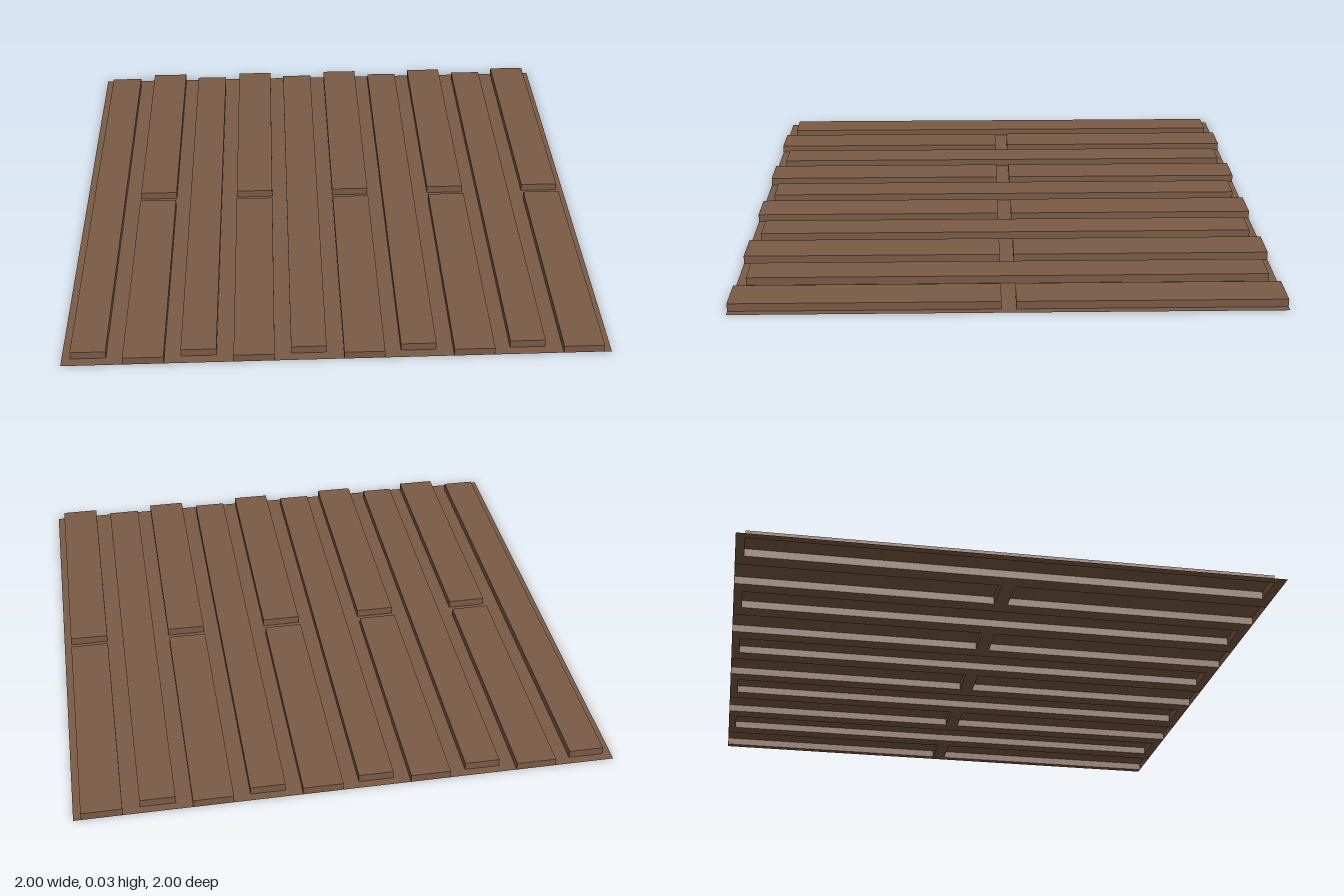
import * as THREE from 'three';

const HEIGHT = 0.03;

export function createModel() {
  const model = new THREE.Group();
  model.name = 'plankFloor';
  const wood = new THREE.MeshStandardMaterial({ color: 0x7b5b46, side: THREE.DoubleSide });

  const add = (geometry, name) => {
    const mesh = new THREE.Mesh(geometry, wood);
    mesh.name = name;
    model.add(mesh);
  };

  // raised board: top and four sides, hollow underneath
  function plank(x0, x1, z0, z1) {
    const g = new THREE.BoxGeometry(x1 - x0, HEIGHT, z1 - z0);
    const index = Array.from(g.index.array);
    index.splice(18, 6); // drop the bottom face
    g.setIndex(index);
    g.clearGroups();
    g.translate((x0 + x1) / 2, HEIGHT / 2, (z0 + z1) / 2);
    add(g, 'plank');
  }

  // flat sheet between the boards
  function gap(x0, x1, z0, z1) {
    const g = new THREE.PlaneGeometry(x1 - x0, z1 - z0);
    g.rotateX(-Math.PI / 2);
    g.translate((x0 + x1) / 2, 0, (z0 + z1) / 2);
    add(g, 'gap');
  }

  let edge = -1; // right end of the floor built so far
  for (let i = 0; i < 5; i++) {
    // one long board, inset at both ends
    const a0 = -0.968 + i * 0.4, a1 = a0 + 0.129;
    gap(edge, a0, -1, 1);
    plank(a0, a1, -0.968, 0.963);
    gap(a0, a1, -1, -0.968);
    gap(a0, a1, 0.963, 1);

    // two half boards running out to the edges
    const b0 = -0.776 + i * 0.4, b1 = b0 + 0.148;
    gap(a1, b0, -1, 1);
    plank(b0, b1, -1, -0.027);
    gap(b0, b1, -0.027, 0.026);
    plank(b0, b1, 0.026, 1);
    edge = b1;
  }
  gap(edge, 1, -1, 1);

  return model;
}
